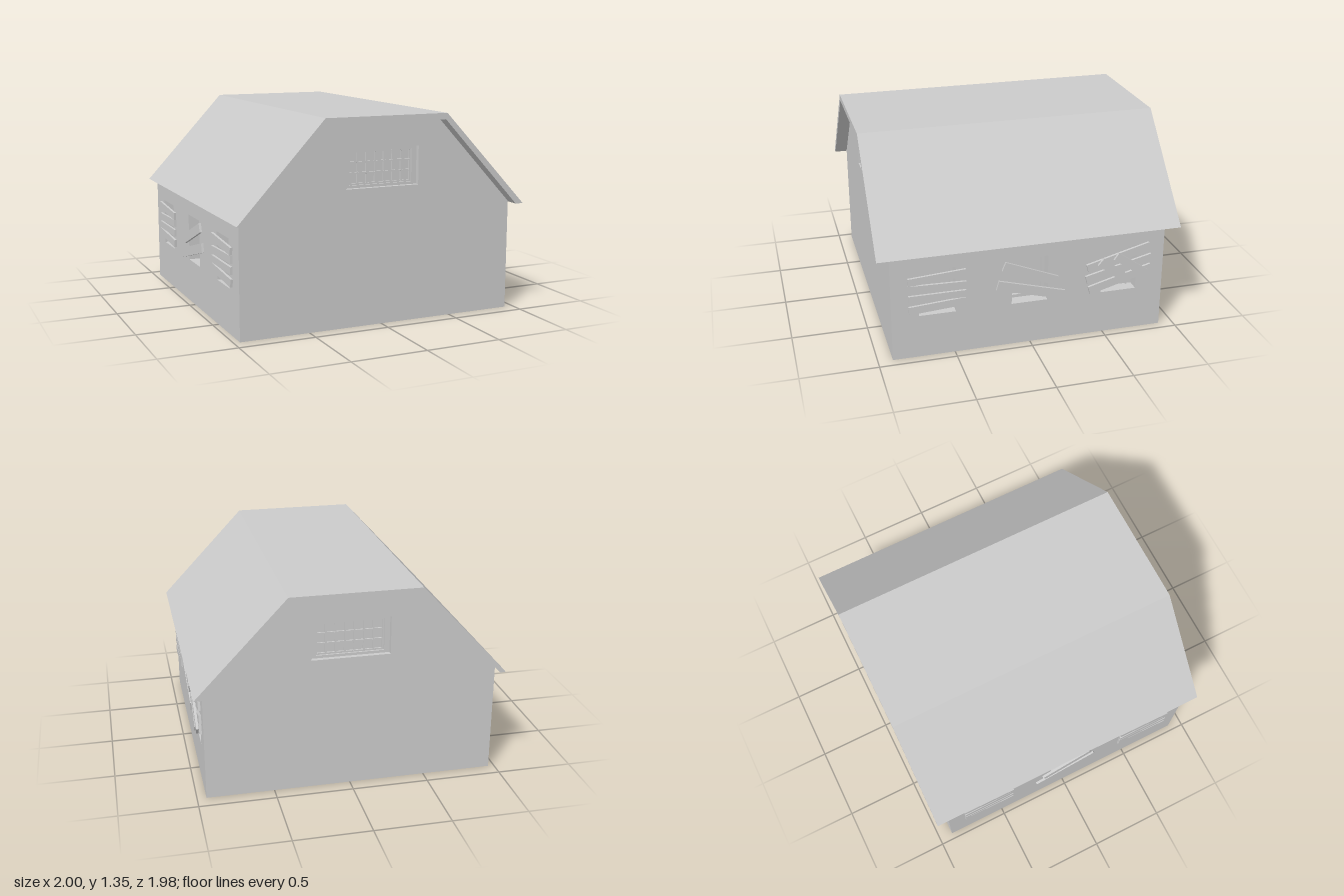
import * as THREE from 'three';

const mat = new THREE.MeshStandardMaterial({ color: 0xcccccc, flatShading: true });

const HALF = 0.905;            // half length of the barn body
const X0 = -0.96, X1 = 0.94;   // side wall faces
const EAVE = 0.73;
const GABLE_DEPTH = 0.06, SIDE_DEPTH = 0.1;

function add(parent, name, geo, x = 0, y = 0, z = 0, angle = 0) {
  const mesh = new THREE.Mesh(geo, mat);
  mesh.name = name;
  mesh.position.set(x, y, z);
  mesh.rotation.z = angle;
  parent.add(mesh);
  return mesh;
}

const box = (w, h, d) => new THREE.BoxGeometry(w, h, d);
const points = list => list.map(([x, y]) => new THREE.Vector2(x, y));
const rect = (cx, cy, w, h) => points([
  [cx - w / 2, cy - h / 2], [cx + w / 2, cy - h / 2],
  [cx + w / 2, cy + h / 2], [cx - w / 2, cy + h / 2],
]);

// Extrudes an outline with holes backwards from z = 0
function slab(outline, holes, depth) {
  const shape = new THREE.Shape(outline);
  holes.forEach(h => shape.holes.push(new THREE.Path(h)));
  return new THREE.ExtrudeGeometry(shape, { depth, bevelEnabled: false }).translate(0, 0, -depth);
}

// Gable wall with a recessed, barred window
function gable(flip) {
  const g = new THREE.Group();
  g.name = flip > 0 ? 'frontGable' : 'backGable';
  const outline = points([[X0, 0], [X1, 0], [X1, EAVE], [0.4, 1.31], [-0.415, 1.31], [X0, EAVE]]
    .map(([x, y]) => [x * flip, y]));
  if (flip < 0) outline.reverse();
  const cy = 1.013, w = 0.51, h = 0.25, iw = 0.44, ih = 0.215;
  add(g, 'gableWall', slab(outline, [rect(0, cy, w, h)], GABLE_DEPTH));
  add(g, 'windowFrame', slab(rect(0, cy, w, h), [rect(0, cy, iw, ih)], 0.03), 0, 0, -0.03);
  add(g, 'windowPane', box(w, h, 0.01), 0, cy, -GABLE_DEPTH - 0.005);

  // Grid of bars with a small boss at each crossing
  const cols = 7, rows = 3, bar = 0.011, z = -0.047;
  for (let i = 0; i <= cols; i++) {
    const x = (i / cols - 0.5) * (iw - bar);
    add(g, 'verticalBar', box(bar, ih, bar), x, cy, z);
    for (let j = 0; j <= rows; j++) {
      add(g, 'barJoint', box(0.014, 0.014, 0.013), x, cy + (j / rows - 0.5) * (ih - bar), z, Math.PI / 4);
    }
  }
  for (let j = 0; j <= rows; j++) {
    add(g, 'horizontalBar', box(iw, bar, bar), 0, cy + (j / rows - 0.5) * (ih - bar), z);
  }
  g.position.z = flip * HALF;
  g.rotation.y = flip > 0 ? 0 : Math.PI;
  return g;
}

// Plank sets: [x offset, y, length, width, degrees, layer]
const straight = [
  [0, 0.553, 0.37, 0.05, 4, 0], [0, 0.485, 0.37, 0.05, -1.5, 0],
  [0, 0.42, 0.37, 0.048, 0, 0], [0, 0.355, 0.37, 0.052, 4, 0],
];
const slanted = [
  [0, 0.5, 0.38, 0.063, -22, 0], [0.005, 0.382, 0.46, 0.063, -15.5, 0],
];
const crossed = [
  [-0.01, 0.54, 0.44, 0.056, 15, 0], [-0.005, 0.457, 0.46, 0.056, 14, 0],
  [0.005, 0.382, 0.44, 0.056, 15.5, 0],
  [-0.04, 0.45, 0.25, 0.058, -39, 1], [0.07, 0.483, 0.25, 0.055, -35, 1],
];

// Long wall with three recessed, boarded windows; side is +1 or -1
function sideWall(side, x, boards) {
  const g = new THREE.Group();
  g.name = side > 0 ? 'leftWall' : 'rightWall';
  const centres = [-0.61, -0.005, 0.6].map(u => u * side);
  const cy = 0.45, w = 0.24, h = 0.315;
  const length = 2 * (HALF - GABLE_DEPTH);
  add(g, 'wall', slab(rect(0, EAVE / 2, length, EAVE), centres.map(u => rect(u, cy, w, h)), SIDE_DEPTH));
  centres.forEach((u, i) => {
    add(g, 'windowFrame', slab(rect(u, cy, w, h), [rect(u, cy, w - 0.04, h - 0.04)], 0.02),
      0, 0, 0.02 - SIDE_DEPTH);
    add(g, 'windowPane', box(w, h, 0.01), u, cy, -SIDE_DEPTH - 0.005);
    for (const [dx, y, len, wide, deg, layer] of boards[i]) {
      add(g, 'plank', box(len, wide, 0.016), u + side * dx, y, 0.01 + layer * 0.016,
        side * THREE.MathUtils.degToRad(deg));
    }
  });
  g.position.x = x;
  g.rotation.y = side * Math.PI / 2;
  return g;
}

export function createModel() {
  const barn = new THREE.Group();
  barn.name = 'barn';

  barn.add(gable(1), gable(-1));
  barn.add(sideWall(1, X1, [straight, slanted, crossed]));
  barn.add(sideWall(-1, X0, [straight, slanted, straight]));

  // Floor between the walls
  add(barn, 'floor', box(X1 - X0 - 2 * SIDE_DEPTH, 0.02, 2 * (HALF - GABLE_DEPTH)), (X0 + X1) / 2, 0.01, 0);

  // Flat-topped roof shell that overhangs every side
  const roof = points([
    [-1, 0.73], [-0.965, 0.725], [-0.415, 1.305], [0.4, 1.305],
    [0.945, 0.725], [1, 0.725], [0.41, 1.345], [-0.43, 1.345],
  ]);
  add(barn, 'roof', slab(roof, [], 1.98), 0, 0, 0.99);

  return barn;
}
